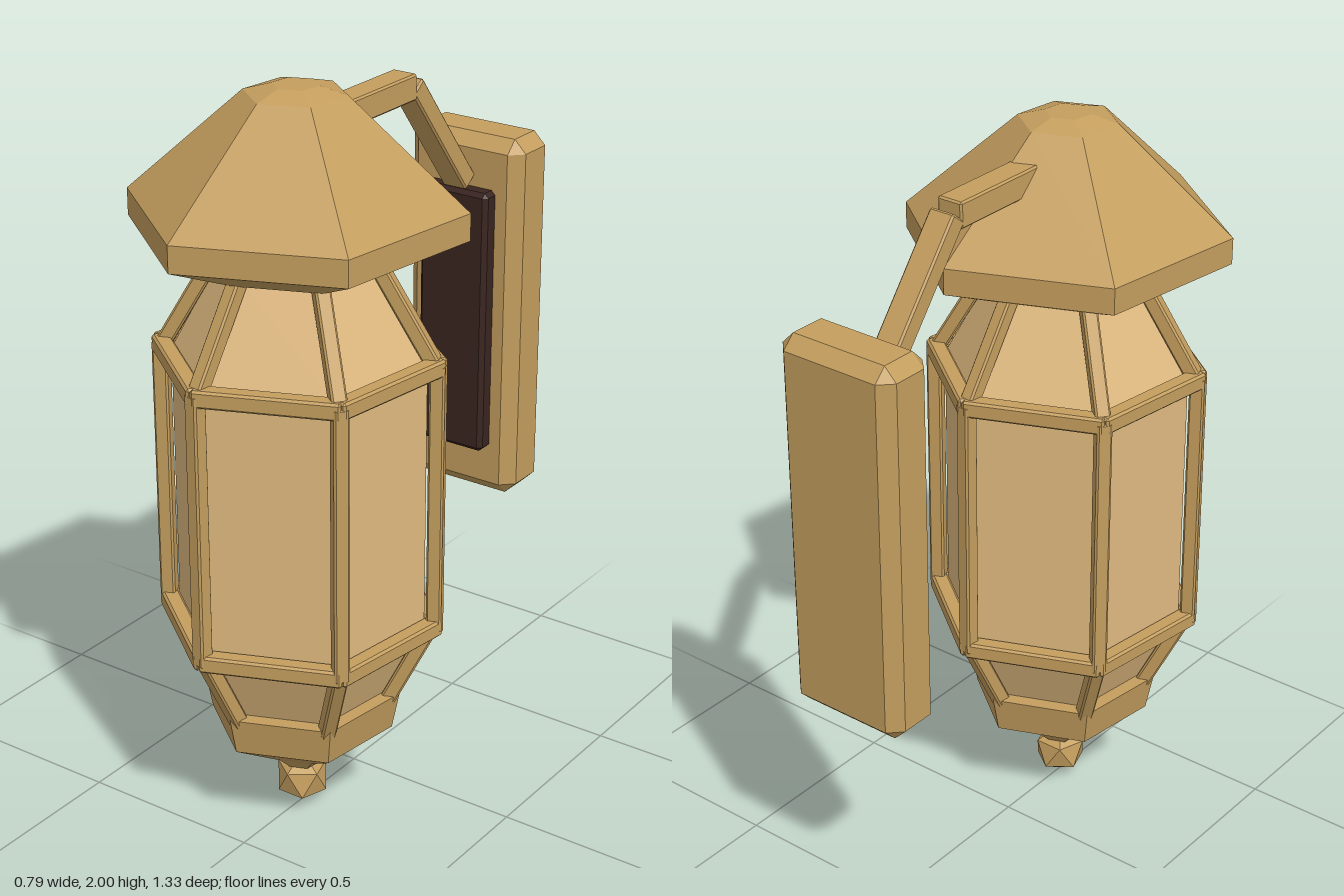
import * as THREE from 'three';
import { ConvexGeometry } from 'three/addons/geometries/ConvexGeometry.js';

const SIDES = 6;
const TURN = -Math.PI * 7.5 / 180; // the lantern is slightly turned on its axis
const CENTRE_Z = 0.24;

export function createModel() {
  const flat = (name, color) => new THREE.MeshStandardMaterial({ name, color, flatShading: true });
  const brass = flat('brass', 0xc49e5e);
  const glass = flat('paleGlass', 0xe0ba80);
  const dark = flat('darkBrown', 0x3a2520);

  const model = new THREE.Group();
  model.name = 'wallLantern';
  const lantern = new THREE.Group();
  lantern.name = 'lantern';
  lantern.position.z = CENTRE_Z;
  model.add(lantern);

  function add(parent, name, geometry, material) {
    const mesh = new THREE.Mesh(geometry, material);
    mesh.name = name;
    parent.add(mesh);
    return mesh;
  }

  // Box with every edge cut at 45 degrees
  function chamferBox(w, h, d, c) {
    const points = [];
    for (const sx of [-1, 1]) for (const sy of [-1, 1]) for (const sz of [-1, 1]) {
      for (let axis = 0; axis < 3; axis++) {
        const cut = [c, c, c];
        cut[axis] = 0;
        points.push(new THREE.Vector3(
          sx * (w / 2 - cut[0]), sy * (h / 2 - cut[1]), sz * (d / 2 - cut[2])));
      }
    }
    return new ConvexGeometry(points);
  }

  // Bar lying in the local yz plane, from (y0, z0) to (y1, z1)
  function bar(parent, name, y0, z0, y1, z1, width, depth = width) {
    const length = Math.hypot(y1 - y0, z1 - z0);
    const mesh = add(parent, name, chamferBox(width, length, depth, 0.005), brass);
    mesh.position.set(0, (y0 + y1) / 2, (z0 + z1) / 2);
    mesh.rotation.x = Math.atan2(z1 - z0, y1 - y0);
    return mesh;
  }

  // Six-sided solid from a profile of [radius, height], bottom to top
  function hexSolid(name, profile, material) {
    const points = profile.map(([r, y]) => new THREE.Vector2(r, y));
    return add(lantern, name, new THREE.LatheGeometry(points, SIDES, TURN), material);
  }

  hexSolid('roof', [
    [0, 1.55], [0.22, 1.55], [0.428, 1.64], [0.428, 1.71], [0.13, 1.98], [0.06, 2], [0, 2],
  ], brass);
  hexSolid('bottomCap', [
    [0, 0.12], [0.048, 0.125], [0.085, 0.162], [0.245, 0.262], [0.265, 0.365], [0, 0.365],
  ], brass);

  // Glass, set just inside the frame
  hexSolid('upperGlass', [[0, 1.305], [0.322, 1.305], [0.19, 1.555], [0, 1.555]], glass);
  hexSolid('mainGlass', [[0, 0.58], [0.328, 0.58], [0.328, 1.305], [0, 1.305]], glass);
  hexSolid('lowerGlass', [[0, 0.35], [0.215, 0.35], [0.322, 0.58], [0, 0.58]], glass);

  // Frame: corner posts, sloping bars and the two rings
  const R = 0.355;
  for (let i = 0; i < SIDES; i++) {
    const corner = new THREE.Group();
    corner.name = 'frameCorner';
    corner.rotation.y = TURN + i * Math.PI / 3;
    lantern.add(corner);
    bar(corner, 'post', 0.57, R, 1.315, R, 0.04);
    bar(corner, 'upperBar', 1.305, R - 0.005, 1.565, 0.2, 0.04);
    bar(corner, 'lowerBar', 0.345, 0.232, 0.585, R - 0.005, 0.04);

    const side = new THREE.Group();
    side.name = 'frameSide';
    side.rotation.y = corner.rotation.y + Math.PI / 6;
    lantern.add(side);
    for (const y of [0.58, 1.307]) {
      const rail = add(side, 'ringBar', chamferBox(R + 0.015, 0.046, 0.046, 0.006), brass);
      rail.position.set(0, y, R * Math.cos(Math.PI / 6));
    }
  }

  // Faceted finial standing on one point
  const finialGeometry = new THREE.IcosahedronGeometry(0.075, 0);
  finialGeometry.rotateZ(Math.atan(2 / (1 + Math.sqrt(5))));
  finialGeometry.rotateY(Math.PI / 2);
  add(lantern, 'finial', finialGeometry, brass).position.y = 0.078;

  // Bracket arm
  bar(model, 'horizontalArm', 1.885, 0.2, 1.885, -0.226, 0.074, 0.07);
  bar(model, 'slopingArm', 1.885, -0.232, 1.56, -0.487, 0.074, 0.054);

  // Wall mount
  add(model, 'wallPlate', chamferBox(0.35, 1.03, 0.167, 0.035), brass).position.set(0, 1.17, -0.583);
  add(model, 'darkPanel', chamferBox(0.21, 0.75, 0.08, 0.012), dark).position.set(0, 1.17, -0.495);

  return model;
}
